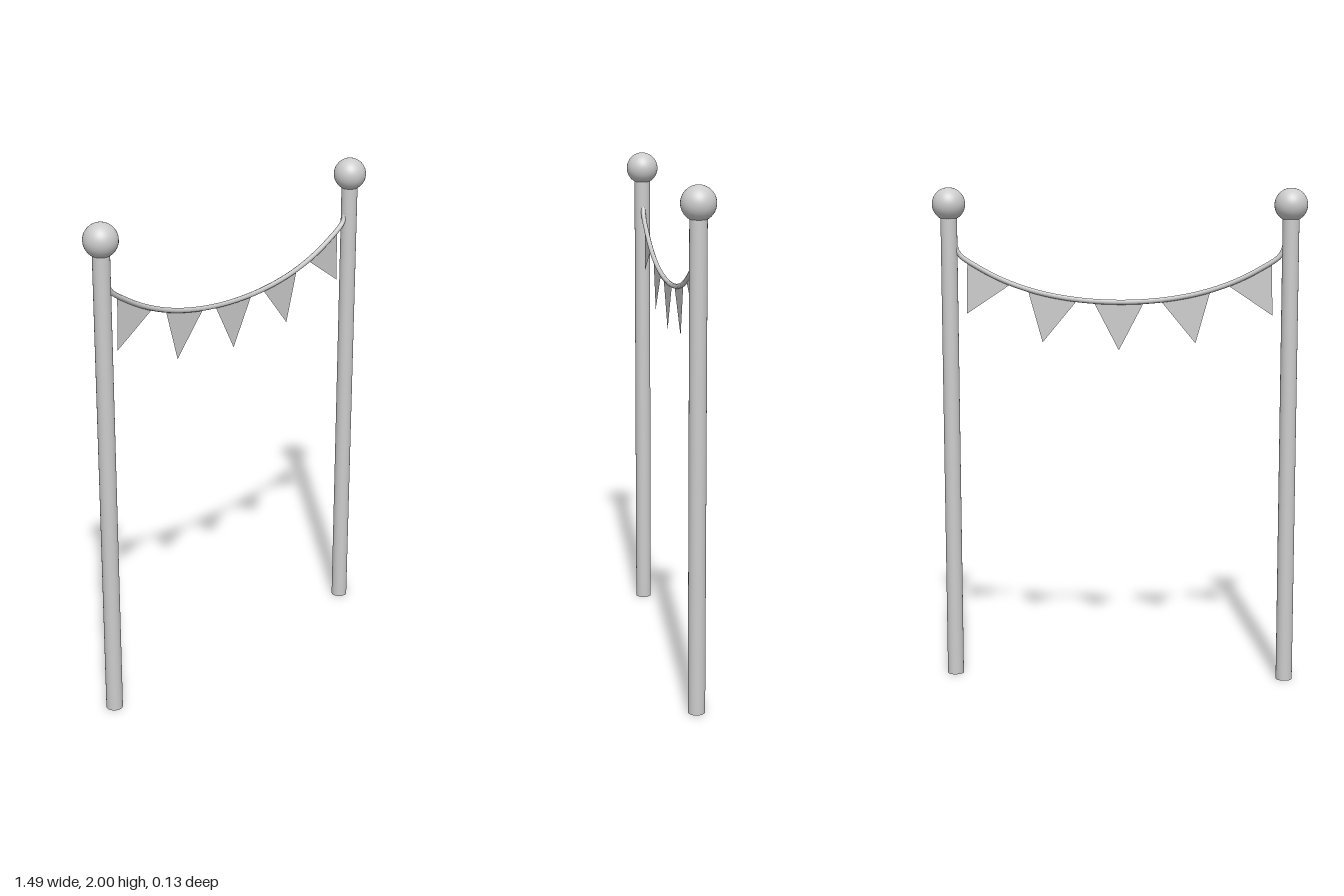
import * as THREE from 'three';

const POST_X = 0.68;

export function createModel() {
  const group = new THREE.Group();
  const material = new THREE.MeshStandardMaterial({ color: 0xcccccc });
  const cloth = new THREE.MeshStandardMaterial({ color: 0xcccccc, side: THREE.DoubleSide });

  const add = (name, geometry, mat, x = 0, y = 0, angle = 0) => {
    const mesh = new THREE.Mesh(geometry, mat);
    mesh.name = name;
    mesh.position.set(x, y, 0);
    mesh.rotation.z = angle;
    group.add(mesh);
  };

  // Two round posts with ball finials
  const post = new THREE.CylinderGeometry(0.033, 0.033, 1.9, 24);
  const ball = new THREE.SphereGeometry(0.066, 32, 20);
  for (const [side, s] of [['left', 1], ['right', -1]]) {
    add(side + 'Post', post, material, s * POST_X, 0.95);
    add(side + 'Finial', ball, material, s * POST_X, 1.934);
  }

  // Sagging rope, turning up sharply where it meets each post
  const sag = (x) => 1.546 + 0.33 * x * x + 0.31 * x ** 4;
  const points = [new THREE.Vector3(-0.655, 1.765, 0)];
  for (let i = -8; i <= 8; i++) {
    const x = (i / 8) * 0.64;
    points.push(new THREE.Vector3(x, sag(x), 0));
  }
  points.push(new THREE.Vector3(0.655, 1.765, 0));
  const path = new THREE.CatmullRomCurve3(points);
  add('rope', new THREE.TubeGeometry(path, 64, 0.01, 8), cloth);

  // Flat triangular pennants, each turned to follow the rope
  const pennant = new THREE.ShapeGeometry(new THREE.Shape([
    new THREE.Vector2(-0.1, 0),
    new THREE.Vector2(0, -0.192),
    new THREE.Vector2(0.1, 0),
  ]));
  const hangs = [[0, 1.545, 0], [0.267, 1.571, 0.21], [0.52, 1.665, 0.5]];
  for (const [x, y, angle] of hangs) {
    for (const s of x ? [1, -1] : [1]) add('pennant', pennant, cloth, s * x, y, s * angle);
  }

  return group;
}
